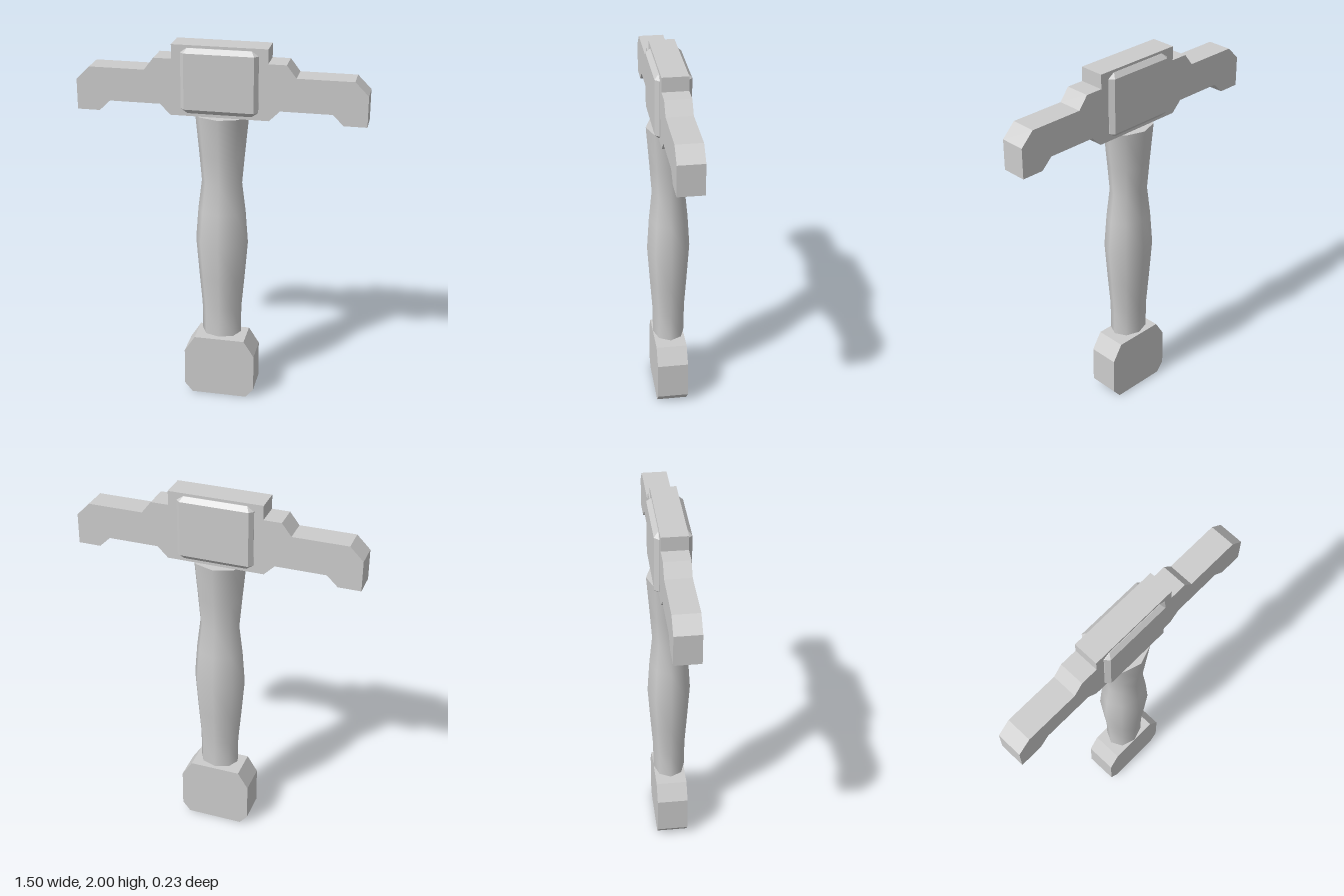
import * as THREE from 'three';
import { toCreasedNormals } from 'three/addons/utils/BufferGeometryUtils.js';
import { ConvexGeometry } from 'three/addons/geometries/ConvexGeometry.js';

const steel = new THREE.MeshStandardMaterial({ color: 0xcccccc });
steel.name = 'grey steel';

function part(name, geometry) {
  const mesh = new THREE.Mesh(geometry, steel);
  mesh.name = name;
  return mesh;
}

// Mirrors a right-hand outline (top to bottom) and extrudes it, centred on z = 0
function symmetricPlate(half, depth) {
  const left = half.map(([x, y]) => [-x, y]).reverse();
  const shape = new THREE.Shape([...half, ...left].map(([x, y]) => new THREE.Vector2(x, y)));
  const geometry = new THREE.ExtrudeGeometry(shape, { depth, bevelEnabled: false });
  return geometry.translate(0, 0, -depth / 2);
}

export function createModel() {
  const model = new THREE.Group();
  model.name = 'hilt';

  // Stepped crossguard
  model.add(part('crossguard', symmetricPlate([
    [0.247, 2], [0.247, 1.925], [0.34, 1.925], [0.39, 1.86], [0.68, 1.86], [0.75, 1.79],
    [0.75, 1.63], [0.632, 1.63], [0.575, 1.685], [0.31, 1.685], [0.255, 1.63],
  ], 0.134)));

  // Bevelled block through the middle of the guard
  const corners = [];
  for (const sx of [-1, 1]) for (const sy of [-1, 1]) for (const sz of [-1, 1]) {
    const add = (x, y, z) => corners.push(new THREE.Vector3(sx * x, 1.816 + sy * y, sz * z));
    add(0.2, 0.146, 0.07);
    add(0.165, 0.17, 0.07);
    add(0.18, 0.146, 0.092);
  }
  model.add(part('guardBlock', new ConvexGeometry(corners)));

  // Eight-sided waisted grip with closed ends
  const profile = [
    [0, 0.37], [0.107, 0.37], [0.109, 0.53], [0.125, 0.71], [0.142, 0.92], [0.128, 1.1],
    [0.108, 1.26], [0.122, 1.42], [0.142, 1.63], [0, 1.63],
  ].map(([r, y]) => new THREE.Vector2(r, y));
  const grip = new THREE.LatheGeometry(profile, 8).scale(1, 1, 0.81);
  model.add(part('grip', toCreasedNormals(grip, 1.1)));

  // Pommel slab with cut corners
  model.add(part('pommel', symmetricPlate([
    [0.138, 0.35], [0.195, 0.26], [0.195, 0.052], [0.152, 0],
  ], 0.168)));

  return model;
}
